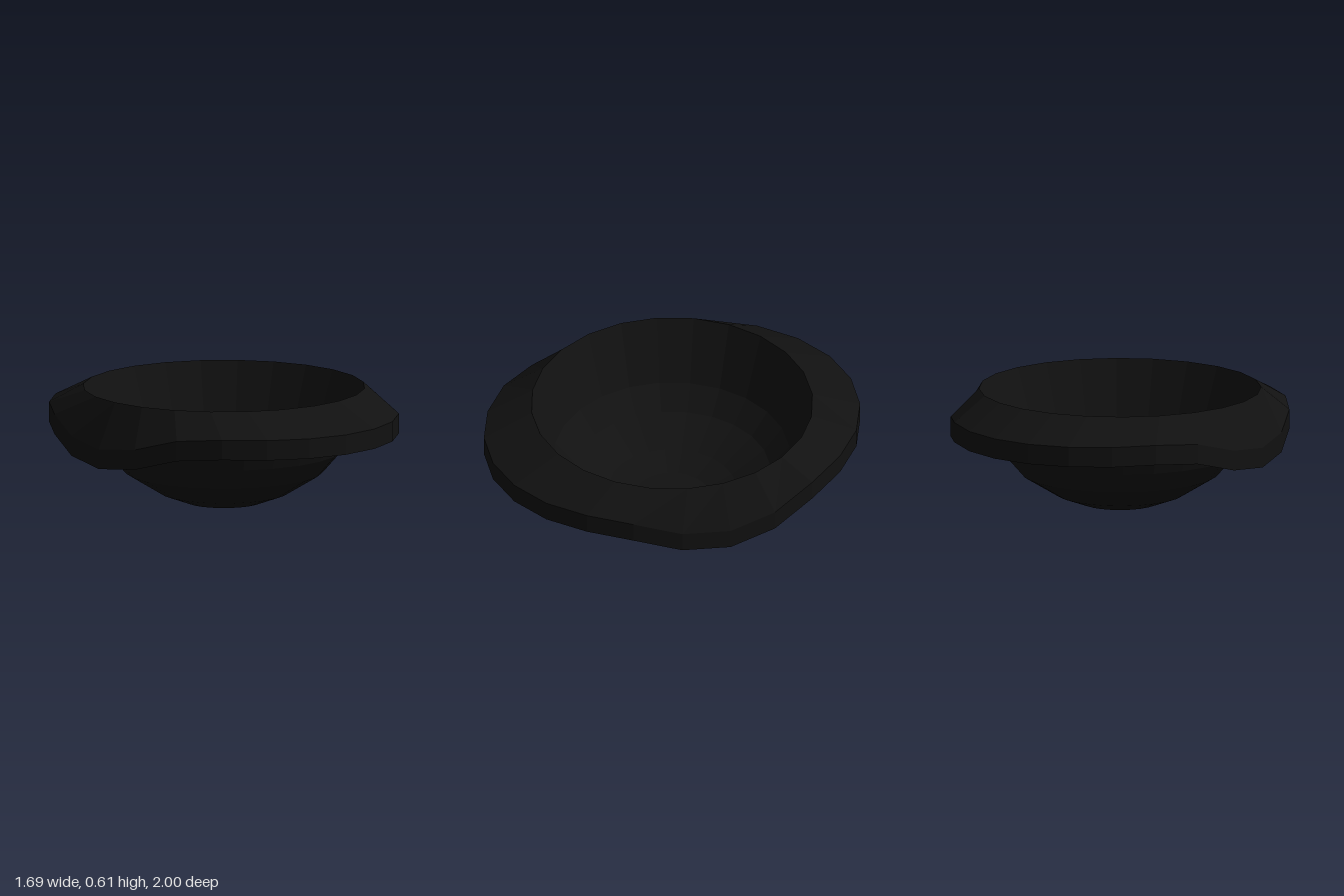
import * as THREE from 'three';

const SIDES = 24;

// Joins rings of points, listed from inside top to inside bottom, into one surface
function ringSurface(rings) {
  const positions = [], index = [];
  rings.forEach((ring) => {
    for (let i = 0; i < SIDES; i++) {
      const a = (i / SIDES) * Math.PI * 2;
      positions.push(ring.rx * Math.sin(a), ring.y(i), ring.rz * Math.cos(a));
    }
  });
  for (let r = 0; r < rings.length - 1; r++) {
    for (let i = 0; i < SIDES; i++) {
      const j = (i + 1) % SIDES;
      const a = r * SIDES + i, b = r * SIDES + j;
      const c = a + SIDES, d = b + SIDES;
      index.push(a, c, b, b, c, d);
    }
  }
  const geometry = new THREE.BufferGeometry();
  geometry.setAttribute('position', new THREE.Float32BufferAttribute(positions, 3));
  geometry.setIndex(index);
  geometry.computeVertexNormals();
  return geometry;
}

export function createModel() {
  const group = new THREE.Group();
  group.name = 'brimmedBowl';
  const material = new THREE.MeshStandardMaterial({
    color: 0x111111, flatShading: true, side: THREE.DoubleSide,
  });

  // Round bowl, open at the top
  const profile = [
    [0, 0], [0.2, 0], [0.335, 0.05], [0.515, 0.16],
    [0.615, 0.275], [0.655, 0.385], [0.735, 0.61],
  ].map(([r, y]) => new THREE.Vector2(r, y));
  const bowl = new THREE.Mesh(new THREE.LatheGeometry(profile, SIDES), material);
  bowl.name = 'bowl';
  group.add(bowl);

  // Oval brim whose edge dips at the left and right
  const dips = [0, 0, 0, 0, 0.02, 0.09, 0.12];
  const dip = (i) => {
    const k = i % (SIDES / 2);
    return dips[Math.min(k, SIDES / 2 - k)];
  };
  const brim = new THREE.Mesh(ringSurface([
    { rx: 0.735, rz: 0.735, y: () => 0.61 },
    { rx: 0.845, rz: 1, y: (i) => 0.495 - dip(i) },
    { rx: 0.845, rz: 1, y: (i) => 0.39 - dip(i) },
    { rx: 0.655, rz: 0.655, y: () => 0.385 },
  ]), material);
  brim.name = 'brim';
  group.add(brim);

  return group;
}
